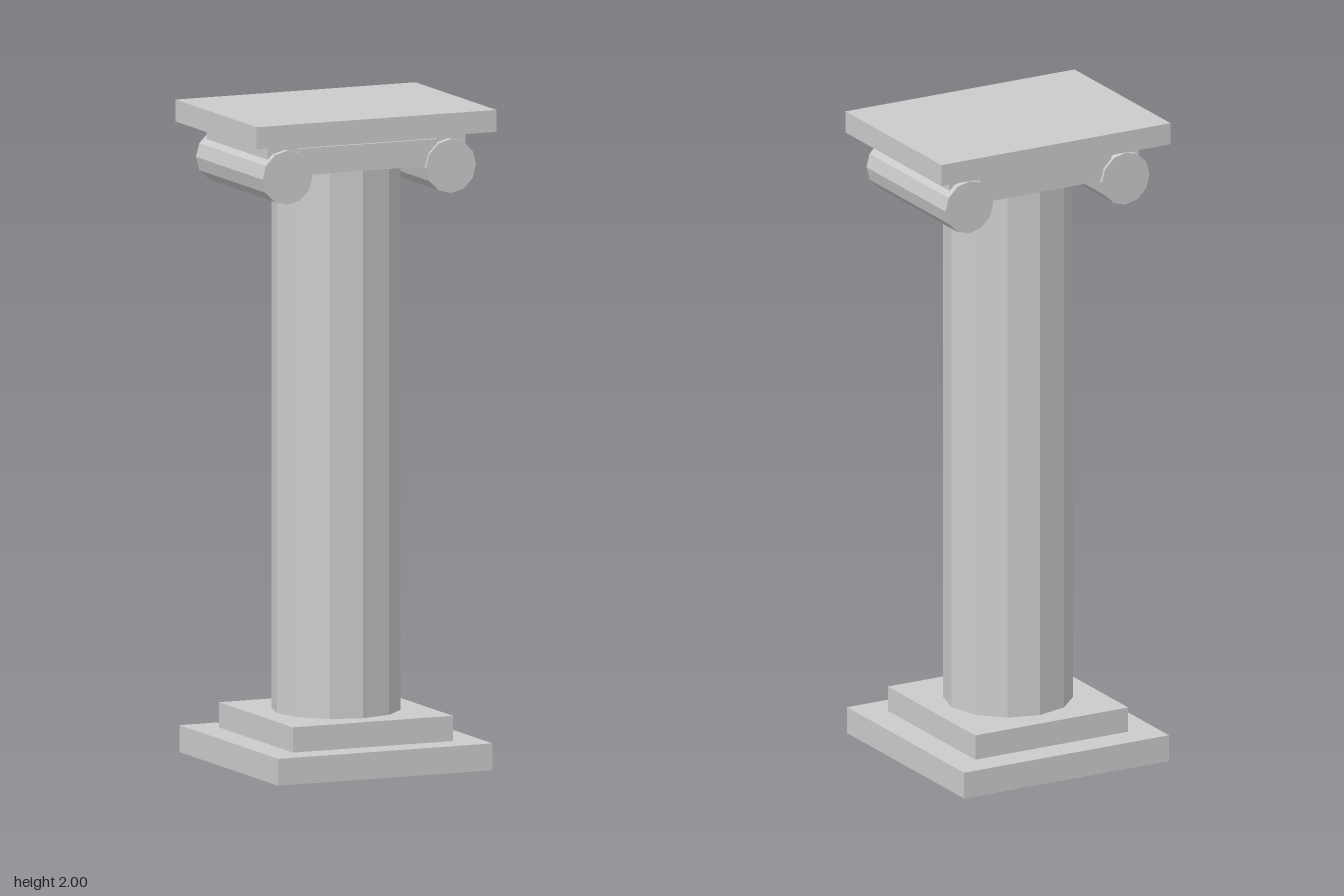
import * as THREE from 'three';

const material = new THREE.MeshStandardMaterial({ color: 0xcccccc, flatShading: true, side: THREE.DoubleSide });

function add(group, name, geometry, x, y, z) {
  const mesh = new THREE.Mesh(geometry, material);
  mesh.name = name;
  mesh.position.set(x, y, z);
  group.add(mesh);
  return mesh;
}

// Box given by its half width, half depth, bottom and top
function slab(group, name, halfX, halfZ, bottom, top) {
  const geometry = new THREE.BoxGeometry(halfX * 2, top - bottom, halfZ * 2);
  return add(group, name, geometry, 0, (bottom + top) / 2, 0);
}

export function createModel() {
  const column = new THREE.Group();
  column.name = 'column';

  // Stepped base; the plinth is hollow, open underneath
  const plinth = slab(column, 'plinth', 0.355, 0.355, 0, 0.082);
  const index = Array.from(plinth.geometry.index.array);
  index.splice(18, 6); // drop the bottom face
  plinth.geometry.setIndex(index);
  plinth.geometry.clearGroups();
  slab(column, 'baseStep', 0.265, 0.265, 0.082, 0.159);

  // Twelve-sided shaft
  const shaftBottom = 0.159, shaftTop = 1.835;
  add(column, 'shaft', new THREE.CylinderGeometry(0.195, 0.195, shaftTop - shaftBottom, 12),
    0, (shaftBottom + shaftTop) / 2, 0);

  // Capital: central block, wider block above it and a scroll roll on each side
  slab(column, 'capitalBlock', 0.228, 0.23, 1.833, 1.914);
  slab(column, 'capitalNeck', 0.328, 0.22, 1.86, 1.933);
  for (const side of [-1, 1]) {
    const roll = new THREE.CylinderGeometry(0.0825, 0.0825, 0.48, 12).rotateX(Math.PI / 2);
    add(column, side > 0 ? 'leftScroll' : 'rightScroll', roll, side * 0.271, 1.83, 0);
  }

  // Top slab
  slab(column, 'abacus', 0.397, 0.291, 1.933, 2);
  return column;
}
